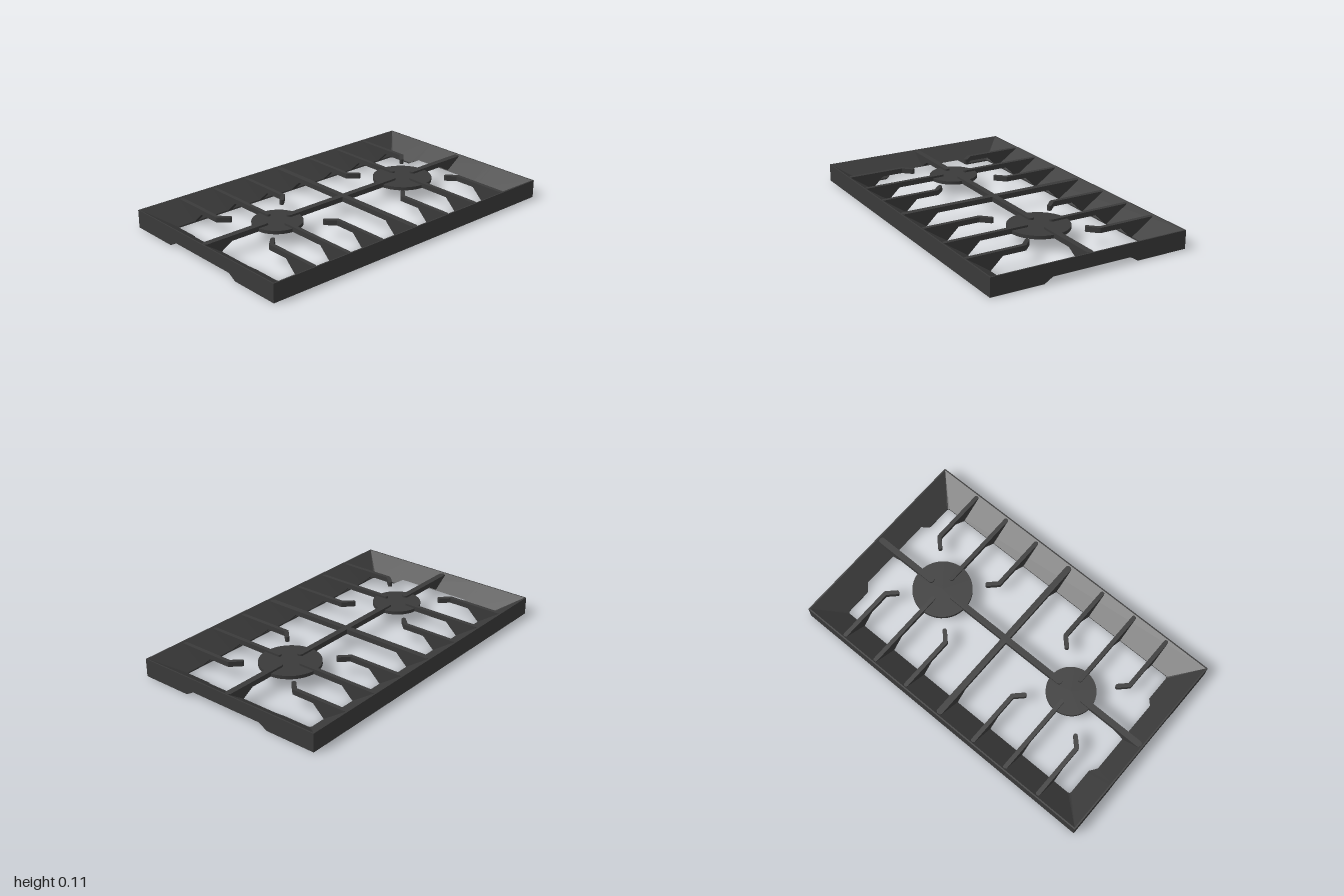
import * as THREE from 'three';

const TOP = 0.104, UNDER = 0.074;        // top and underside of the bars
const material = new THREE.MeshStandardMaterial({ color: 0x3a3a3a });

function add(parent, name, geometry) {
  const mesh = new THREE.Mesh(geometry, material);
  mesh.name = name;
  parent.add(mesh);
  return mesh;
}

// Sloping rim: cross-sections joined in a closed loop, notched below at both short ends
function frameGeometry() {
  // outer x, outer z, inner x, inner z, bottom y, lip y
  const quarter = [
    [0.24, 1, 0.24, 0.877, 0.03, 0.03],
    [0.277, 1, 0.277, 0.845, 0.008, 0.008],
    [0.29, 1, 0.29, 0.845, 0, 0.008],
    [0.605, 1, 0.438, 0.845, 0, 0.008],
    [0.605, 1, 0.446, 0.841, 0, 0.008],
    [0.605, 1, 0.45, 0.833, 0, 0.008],
  ];
  const stations = [];
  for (const [sx, sz] of [[1, 1], [1, -1], [-1, -1], [-1, 1]]) {
    const list = sx * sz > 0 ? quarter : [...quarter].reverse();
    for (const [ox, oz, ix, iz, bottom, lip] of list) {
      const rimX = ox === 0.605 ? 0.597 : ox;
      stations.push([
        [ox * sx, bottom, oz * sz],
        [ox * sx, 0.108, oz * sz],
        [rimX * sx, 0.108, 0.992 * sz],
        [ix * sx, lip, iz * sz],
        [ix * sx, bottom, iz * sz],
      ]);
    }
  }
  const positions = [];
  stations.forEach((s, i) => {
    const n = stations[(i + 1) % stations.length];
    for (let j = 0; j < 5; j++) {
      const k = (j + 1) % 5;
      positions.push(...s[j], ...n[j], ...n[k], ...s[j], ...n[k], ...s[k]);
    }
  });
  const geometry = new THREE.BufferGeometry();
  geometry.setAttribute('position', new THREE.Float32BufferAttribute(positions, 3));
  geometry.computeVertexNormals();
  return geometry;
}

// Straight bar between two plan points [x, z], with round ends
function bar(parent, name, a, b, width) {
  const r = width / 2;
  const length = Math.hypot(b[0] - a[0], b[1] - a[1]);
  const shape = new THREE.Shape();
  shape.absarc(length - r, 0, r, -Math.PI / 2, Math.PI / 2);
  shape.absarc(r, 0, r, Math.PI / 2, Math.PI * 1.5);
  shape.closePath();
  const geometry = new THREE.ExtrudeGeometry(shape, { depth: TOP - UNDER, bevelEnabled: false, curveSegments: 8 });
  geometry.rotateX(-Math.PI / 2);
  const mesh = add(parent, name, geometry);
  mesh.position.set(a[0], UNDER, a[1]);
  mesh.rotation.y = -Math.atan2(b[1] - a[1], b[0] - a[0]);
}

// Upright web that carries a bar down onto the rim; profile runs outward along +x
function gusset(parent, inner, outer, offset, width, angle) {
  const shape = new THREE.Shape([
    [inner - 0.075, UNDER], [inner, 0.004], [inner + 0.03, 0.004],
    [outer - 0.01, UNDER], [outer - 0.01, TOP - 0.002], [inner - 0.075, TOP - 0.002],
  ].map(([x, y]) => new THREE.Vector2(x, y)));
  const geometry = new THREE.ExtrudeGeometry(shape, { depth: width, bevelEnabled: false });
  geometry.translate(0, 0, offset - width / 2);
  geometry.rotateY(angle);
  add(parent, 'gusset', geometry);
}

export function createModel() {
  const model = new THREE.Group();
  model.name = 'hobGrate';
  add(model, 'frame', frameGeometry());

  const burners = [
    { name: 'largeBurner', z: -0.49, radius: 0.178 },
    { name: 'smallBurner', z: 0.485, radius: 0.145 },
  ];

  for (const { name, z, radius } of burners) {
    const group = new THREE.Group();
    group.name = name;
    model.add(group);

    // Burner cap under the bar tips
    const cap = add(group, 'burnerCap', new THREE.CylinderGeometry(radius, radius, 0.02, 48));
    cap.position.set(0, 0.082, z);

    for (const side of [1, -1]) {
      const angle = side > 0 ? 0 : Math.PI;
      // Side arm pointing at the cap centre
      bar(group, 'sideArm', [side * 0.592, z], [side * 0.07, z], 0.025);
      gusset(group, 0.45, 0.592, side * z, 0.025, angle);
      // Pan fingers bent towards the cap
      for (const end of [1, -1]) {
        const fz = z + end * 0.235;
        bar(group, 'finger', [side * 0.592, fz], [side * 0.228, fz], 0.025);
        bar(group, 'fingerTip', [side * 0.245, fz + end * 0.005], [side * 0.182, fz - end * 0.058], 0.025);
        gusset(group, 0.45, 0.592, side * fz, 0.025, angle);
      }
    }
  }

  // Long centre bar, broken over each cap
  bar(model, 'centreBarBack', [0, -0.987], [0, -0.56], 0.037);
  bar(model, 'centreBarMiddle', [0, -0.425], [0, 0.415], 0.037);
  bar(model, 'centreBarFront', [0, 0.555], [0, 0.987], 0.037);
  gusset(model, 0.885, 0.987, 0, 0.037, -Math.PI / 2);
  gusset(model, 0.885, 0.987, 0, 0.037, Math.PI / 2);
  model.children.slice(-2).forEach((web) => {
    // keep the end webs above the notch
    const p = web.geometry.attributes.position;
    for (let i = 0; i < p.count; i++) p.setY(i, Math.max(p.getY(i), 0.031));
    web.geometry.computeVertexNormals();
  });

  // Cross bar between the two halves
  bar(model, 'crossBar', [-0.592, -0.003], [0.592, -0.003], 0.037);
  gusset(model, 0.45, 0.592, -0.003, 0.037, 0);
  gusset(model, 0.45, 0.592, 0.003, 0.037, Math.PI);

  return model;
}
